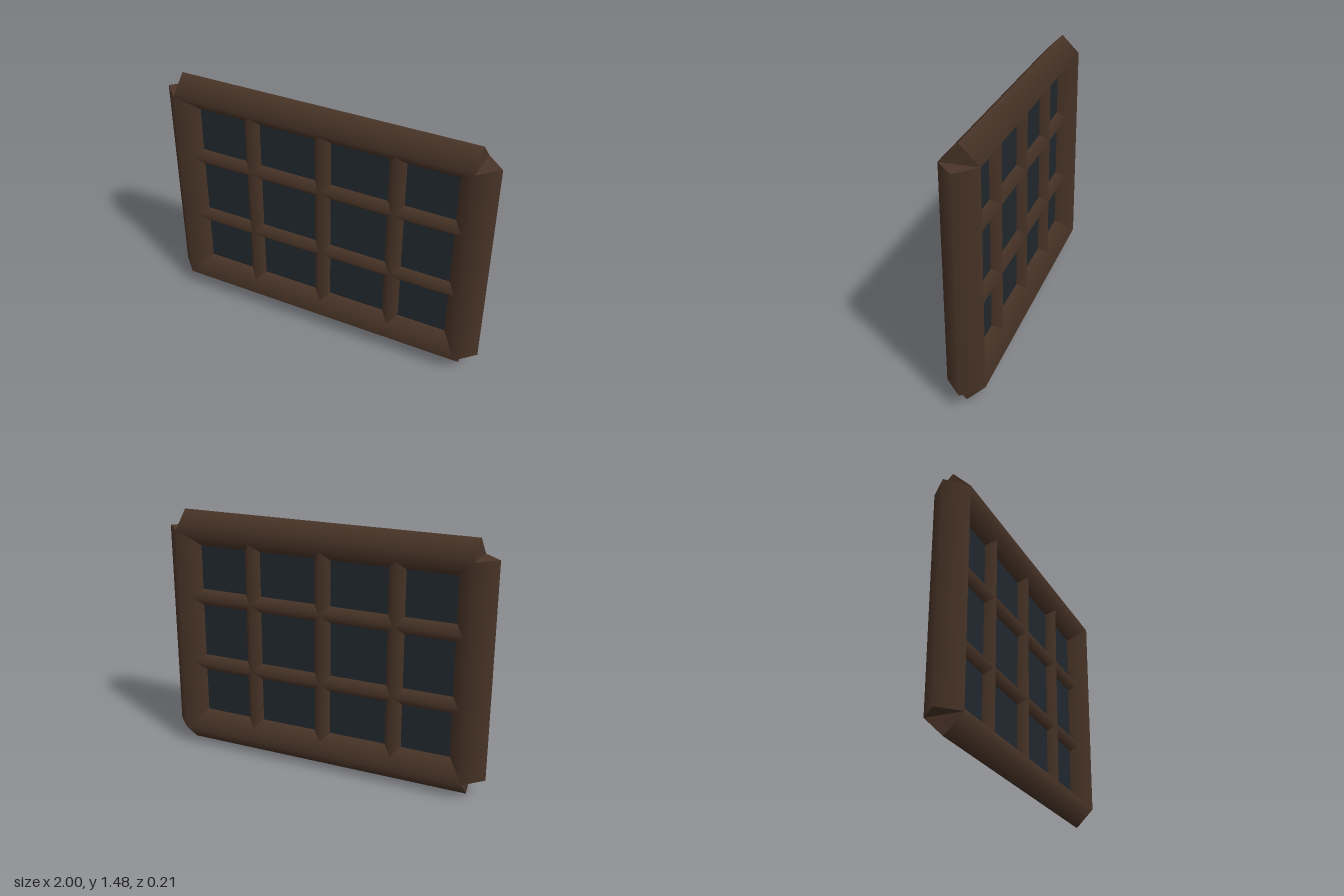
import * as THREE from 'three';

export function createModel() {
  const group = new THREE.Group();
  const wood = new THREE.MeshStandardMaterial({ color: 0x4a3528 });
  const glass = new THREE.MeshStandardMaterial({ color: 0x22292f });

  const R = 0.107;              // frame bar radius
  const r = 0.053;              // glazing bar radius
  const halfW = 1 - R;          // frame centre lines
  const H = 1.261;
  const midY = R + H / 2;

  // Four-sided bar with a diamond cross-section and smooth shading
  function bar(name, radius, length, x, y, horizontal) {
    const mesh = new THREE.Mesh(new THREE.CylinderGeometry(radius, radius, length, 4), wood);
    mesh.name = name;
    mesh.position.set(x, y, 0);
    if (horizontal) mesh.rotation.z = Math.PI / 2;
    group.add(mesh);
  }

  // Outer frame
  bar('bottomRail', R, halfW * 2, 0, R, true);
  bar('topRail', R, halfW * 2, 0, R + H, true);
  bar('leftStile', R, H, halfW, midY, false);
  bar('rightStile', R, H, -halfW, midY, false);

  // Glazing bars: four columns by three rows
  for (let i = 1; i < 4; i++) {
    bar('verticalGlazingBar' + i, r, H, -halfW + (i * halfW) / 2, midY, false);
  }
  for (let i = 1; i < 3; i++) {
    bar('horizontalGlazingBar' + i, r, halfW * 2, 0, R + (i * H) / 3, true);
  }

  // Glass pane
  const pane = new THREE.Mesh(new THREE.BoxGeometry(halfW * 2, H, 0.006), glass);
  pane.name = 'glassPane';
  pane.position.y = midY;
  group.add(pane);

  return group;
}
